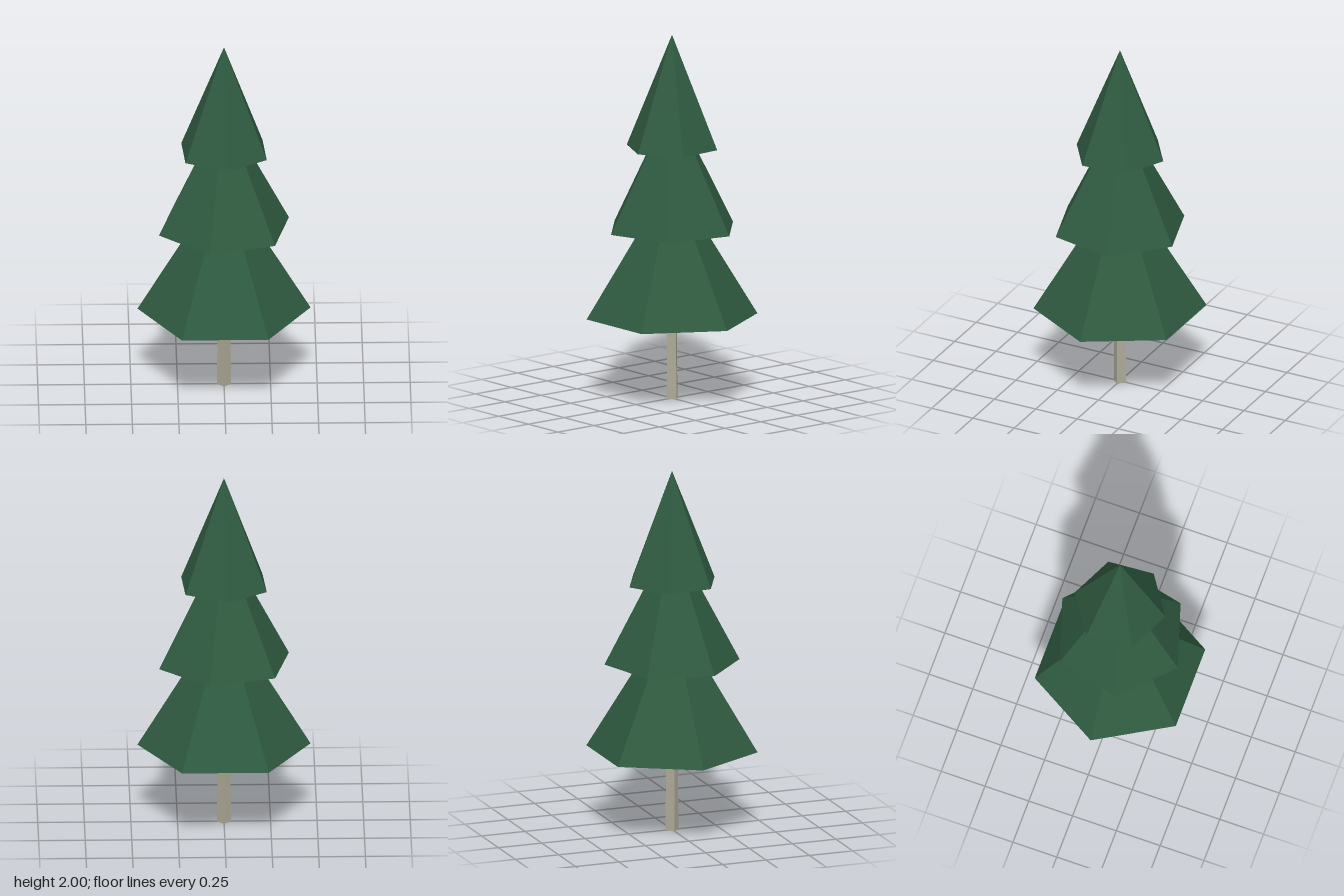
import * as THREE from 'three';

export function createModel() {
  const tree = new THREE.Group();
  tree.name = 'pineTree';

  const foliage = new THREE.MeshStandardMaterial({ color: 0x2f5a40, flatShading: true });
  foliage.name = 'foliageGreen';
  const bark = new THREE.MeshStandardMaterial({ color: 0xaeaa98, flatShading: true });
  bark.name = 'barkGrey';

  // Trunk: slim four-sided post with corners on the axes, running up into the lowest tier
  const trunk = new THREE.Mesh(new THREE.CylinderGeometry(0.031, 0.038, 0.6, 4), bark);
  trunk.name = 'trunk';
  trunk.position.y = 0.3;
  tree.add(trunk);

  // Foliage tiers: six-sided cones with a shallow hollow underside, each twisted differently
  const hollow = 0.08;
  const tiers = [
    { name: 'lowerFoliage', radius: 0.465, base: 0.45, tip: 1.22, twist: 30 },
    { name: 'middleFoliage', radius: 0.367, base: 0.935, tip: 1.64, twist: 47.3 },
    { name: 'upperFoliage', radius: 0.253, base: 1.38, tip: 2, twist: 4.2 },
  ];
  for (const { name, radius, base, tip, twist } of tiers) {
    const profile = [
      new THREE.Vector2(0, base + hollow),
      new THREE.Vector2(radius, base),
      new THREE.Vector2(0, tip),
    ];
    const geometry = new THREE.LatheGeometry(profile, 6, THREE.MathUtils.degToRad(twist)).toNonIndexed();
    geometry.computeVertexNormals();
    const tier = new THREE.Mesh(geometry, foliage);
    tier.name = name;
    tree.add(tier);
  }

  return tree;
}
